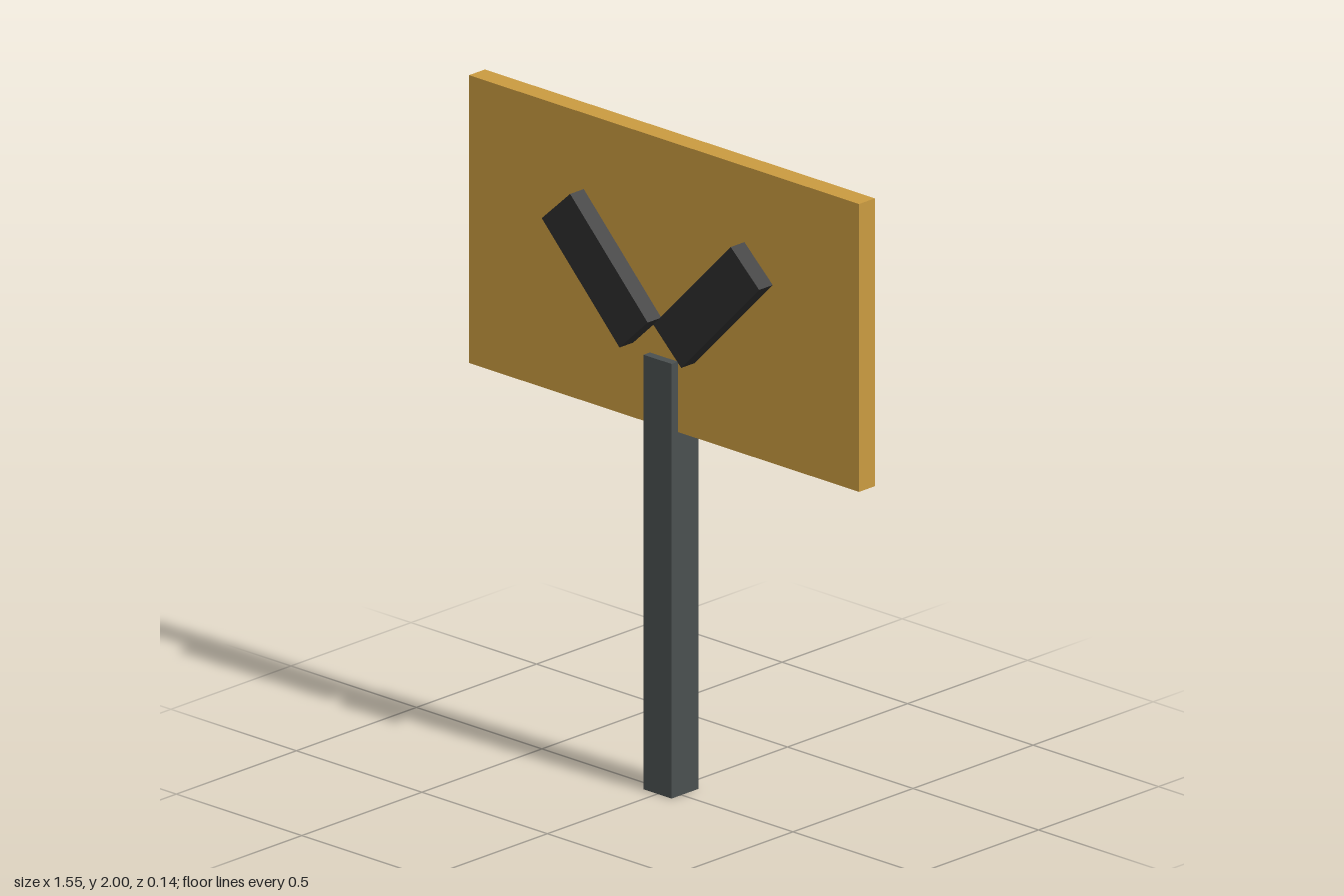
import * as THREE from 'three';

const mat = (name, color) => {
  const m = new THREE.MeshStandardMaterial({ color });
  m.name = name;
  return m;
};

export function createModel() {
  const group = new THREE.Group();
  const ochre = mat('ochre', 0xc99a40);
  const slate = mat('slate grey', 0x4a4f4f);
  const black = mat('charcoal', 0x2d2d2d);

  // Box given by its lower and upper corners
  const box = (name, material, lo, hi) => {
    const mesh = new THREE.Mesh(
      new THREE.BoxGeometry(hi[0] - lo[0], hi[1] - lo[1], hi[2] - lo[2]), material);
    mesh.position.set((lo[0] + hi[0]) / 2, (lo[1] + hi[1]) / 2, (lo[2] + hi[2]) / 2);
    mesh.name = name;
    group.add(mesh);
  };

  box('signBoard', ochre, [-0.777, 1.117, -0.052], [0.777, 2, 0.014]);
  box('post', slate, [-0.056, 0, -0.071], [0.056, 1.333, 0.041]);

  // Two raised slanted bars forming an open V on the front
  for (const side of [1, -1]) {
    const corners = [[0.123, 1.346], [0.433, 1.664], [0.32, 1.767], [0.011, 1.451]];
    const shape = new THREE.Shape(corners.map(([x, y]) => new THREE.Vector2(side * x, y)));
    const bar = new THREE.Mesh(
      new THREE.ExtrudeGeometry(shape, { depth: 0.059, bevelEnabled: false }), black);
    bar.position.z = 0.012;
    bar.name = side > 0 ? 'leftBar' : 'rightBar';
    group.add(bar);
  }
  return group;
}
